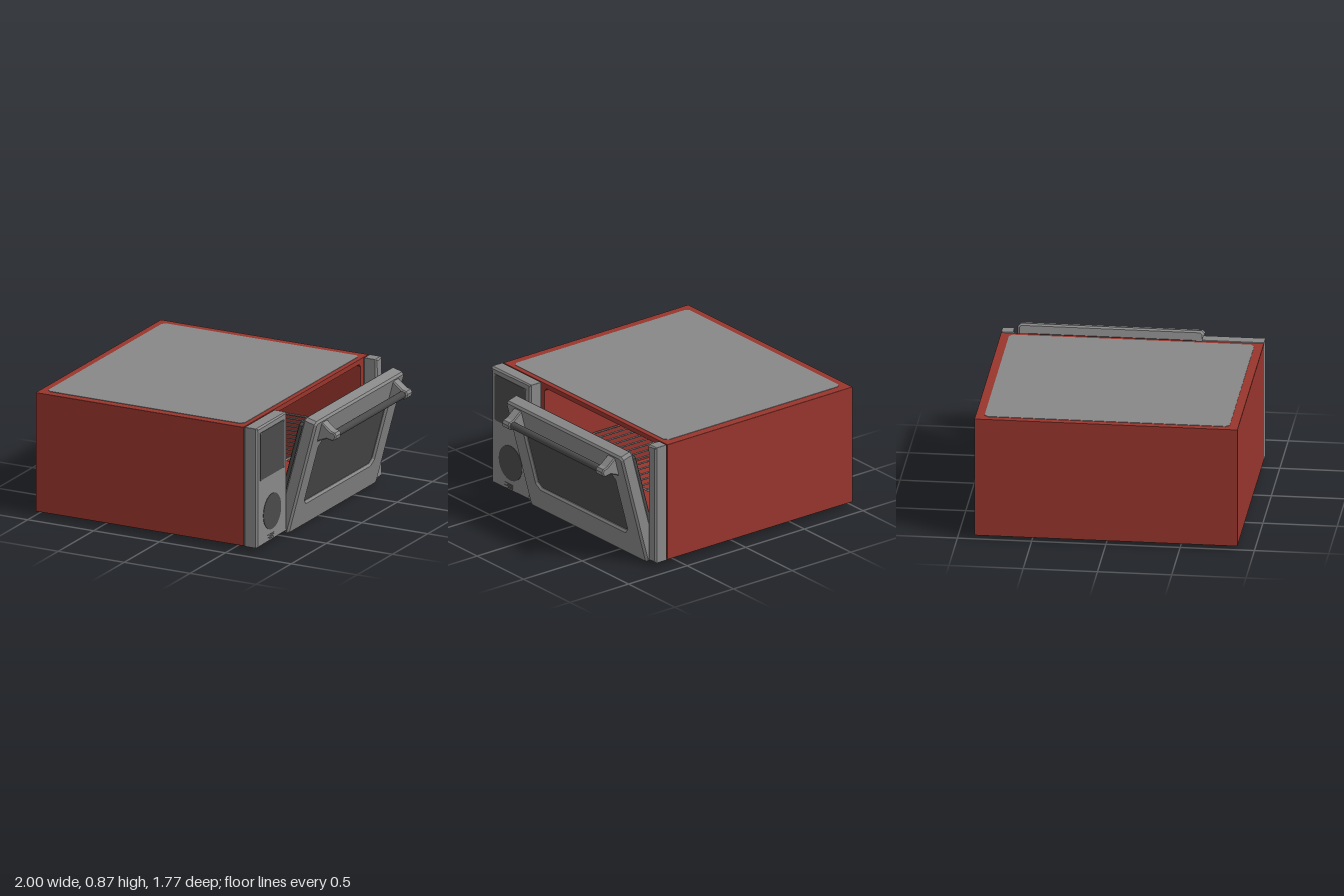
import * as THREE from 'three';

const mat = (name, color) => {
  const m = new THREE.MeshStandardMaterial({ color });
  m.name = name;
  return m;
};

// Rectangle with cut corners
function cutRect(path, a0, a1, b0, b1, c) {
  const pts = [[a0 + c, b0], [a1 - c, b0], [a1, b0 + c], [a1, b1 - c],
    [a1 - c, b1], [a0 + c, b1], [a0, b1 - c], [a0, b0 + c]];
  pts.forEach(([a, b], i) => (i ? path.lineTo(a, b) : path.moveTo(a, b)));
  path.closePath();
  return path;
}

// Slab facing +x, with optional bevel and window [z0, z1, y0, y1, corner]
function slab(x0, x1, y0, y1, z0, z1, corner = 0.001, bevel = 0, hole = null) {
  const shape = cutRect(new THREE.Shape(), -z1, -z0, y0, y1, corner);
  if (hole) shape.holes.push(cutRect(new THREE.Path(), -hole[1], -hole[0], hole[2], hole[3], hole[4]));
  const g = new THREE.ExtrudeGeometry(shape, {
    depth: x1 - x0 - 2 * bevel, bevelEnabled: bevel > 0, bevelThickness: bevel,
    bevelSize: bevel, bevelOffset: -bevel, bevelSegments: 1,
  });
  return g.rotateY(Math.PI / 2).translate(x0 + bevel, 0, 0);
}

const box = (x0, x1, y0, y1, z0, z1) =>
  new THREE.BoxGeometry(x1 - x0, y1 - y0, z1 - z0)
    .translate((x0 + x1) / 2, (y0 + y1) / 2, (z0 + z1) / 2);

export function createModel() {
  const red = mat('red enamel', 0x98352d);
  const grey = mat('grey metal', 0x888888);
  const dark = mat('dark glass and trim', 0x4a4a4a);

  const model = new THREE.Group();
  model.name = 'oven';
  const add = (parent, name, geometry, material) => {
    const m = new THREE.Mesh(geometry, material);
    m.name = name;
    parent.add(m);
    return m;
  };

  // Hollow body
  add(model, 'bodyShell', slab(-0.9, 0.575, 0.032, 0.868, -0.885, 0.885, 0.001, 0,
    [-0.775, 0.44, 0.07, 0.835, 0.02]), red);
  add(model, 'bodyBack', box(-1, -0.9, 0.032, 0.868, -0.885, 0.885), red);

  // Top and bottom plates with rounded corners
  for (const [name, y] of [['topPlate', 0.866], ['bottomPlate', 0.029]]) {
    const shape = cutRect(new THREE.Shape(), -0.95, 0.54, -0.825, 0.825, 0.025);
    const g = new THREE.ExtrudeGeometry(shape, { depth: 0.005, bevelEnabled: false });
    add(model, name, g.rotateX(-Math.PI / 2).translate(0, y, 0), grey);
  }

  // Control panel and opposite pillar
  add(model, 'controlPanel', slab(0.575, 0.68, 0.03, 0.87, 0.465, 0.885, 0.001, 0.012), grey);
  add(model, 'sidePillar', slab(0.575, 0.68, 0.03, 0.87, -0.885, -0.805, 0.001, 0.012), grey);
  add(model, 'display', box(0.677, 0.683, 0.495, 0.83, 0.507, 0.845), dark);
  add(model, 'dial', new THREE.CylinderGeometry(0.125, 0.125, 0.006, 40)
    .rotateZ(Math.PI / 2).translate(0.68, 0.235, 0.675), dark);
  for (let i = 0; i < 4; i++) {
    add(model, 'ventSlot', box(0.678, 0.682, 0.048 + i * 0.01, 0.051 + i * 0.01, 0.65, 0.71 + (i % 2) * 0.03), dark);
  }
  for (const y of [0.5, 0.825]) for (const z of [0.513, 0.839]) {
    add(model, 'displayScrew', new THREE.CylinderGeometry(0.006, 0.006, 0.004, 8)
      .rotateZ(Math.PI / 2).translate(0.683, y, z), grey);
  }

  // Wire rack inside the cavity
  const rack = new THREE.Group();
  rack.name = 'wireRack';
  model.add(rack);
  for (let i = 0; i <= 16; i++) {
    add(rack, 'rackWire', new THREE.CylinderGeometry(0.006, 0.006, 1.35, 6)
      .rotateZ(Math.PI / 2).translate(-0.2, 0.4, -0.76 + i * 0.074), grey);
  }
  for (const x of [-0.86, -0.2, 0.47]) {
    add(rack, 'rackCrossWire', new THREE.CylinderGeometry(0.008, 0.008, 1.21, 6)
      .rotateX(Math.PI / 2).translate(x, 0.39, -0.167), grey);
  }

  // Door, tilted open about its lower edge
  const door = new THREE.Group();
  door.name = 'door';
  door.position.set(0.682, 0.002, 0);
  door.rotation.z = -Math.PI / 12;
  model.add(door);
  const win = [-0.65, 0.315, 0.2, 0.655, 0.03];
  add(door, 'doorFrame', slab(-0.1, 0, 0, 0.85, -0.8, 0.457, 0.02, 0.014, win), grey);
  add(door, 'doorInnerFrame', slab(-0.14, -0.1, 0.06, 0.785, -0.76, 0.42, 0.02, 0.006, win), dark);
  add(door, 'doorGlass', slab(-0.026, -0.018, 0.19, 0.665, -0.66, 0.325), dark);

  // Handle: two brackets and a bar
  const profile = [[0.855, 0.66], [0.88, 0.67], [0.93, 0.69], [0.975, 0.68], [0.995, 0.695],
    [1, 0.72], [0.99, 0.74], [0.96, 0.747], [0.895, 0.8], [0.87, 0.79]];
  for (const z of [-0.72, 0.29]) {
    const shape = new THREE.Shape(profile.map(([x, y]) => new THREE.Vector2(x, y)));
    const g = new THREE.ExtrudeGeometry(shape, {
      depth: 0.064, bevelEnabled: true, bevelThickness: 0.008, bevelSize: 0.008, bevelOffset: -0.008, bevelSegments: 1,
    });
    add(model, 'handleBracket', g.translate(0, 0, z + 0.008), grey);
  }
  add(model, 'handleBar', new THREE.CylinderGeometry(0.025, 0.025, 0.96, 20)
    .rotateX(Math.PI / 2).translate(0.962, 0.714, -0.175), dark);

  return model;
}
